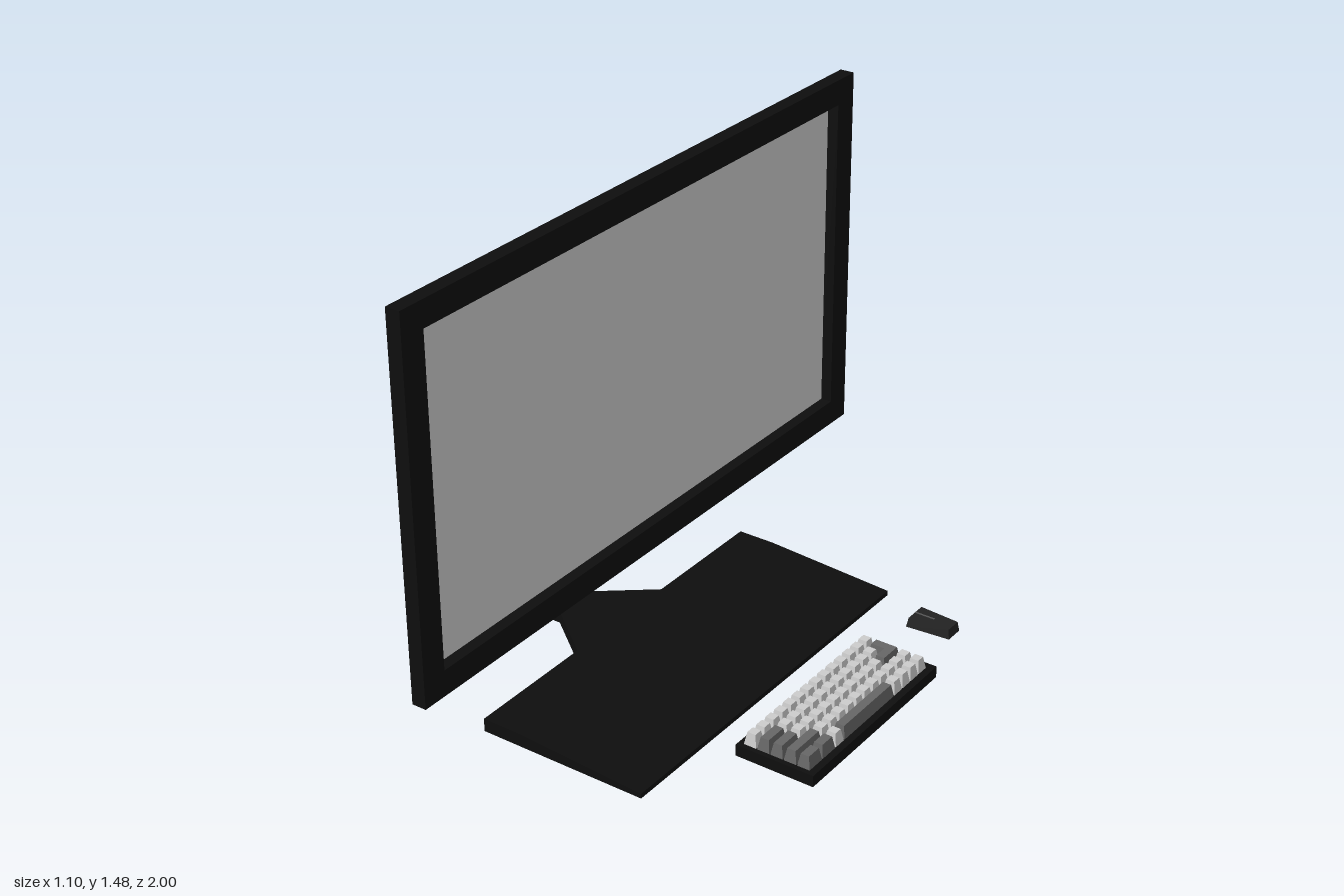
import * as THREE from 'three';

const mat = (color) => new THREE.MeshStandardMaterial({ color, flatShading: true });

function add(parent, name, geometry, material, x = 0, y = 0, z = 0) {
  const mesh = new THREE.Mesh(geometry, material);
  mesh.name = name;
  mesh.position.set(x, y, z);
  parent.add(mesh);
  return mesh;
}

const shapeOf = (points) => new THREE.Shape(points.map(([x, y]) => new THREE.Vector2(x, y)));

// Extrude a side profile (x, y) across z, centred on z = 0
function acrossZ(points, width) {
  const g = new THREE.ExtrudeGeometry(shapeOf(points), { depth: width, bevelEnabled: false });
  return g.translate(0, 0, -width / 2);
}

// Box standing on y = 0 whose top is drawn in by an equal inset on all sides
function taperedBox(w, h, d, inset) {
  const g = new THREE.BoxGeometry(w, h, d).translate(0, h / 2, 0);
  const p = g.attributes.position;
  for (let i = 0; i < p.count; i++) {
    if (p.getY(i) < h / 2) continue;
    p.setX(i, p.getX(i) - Math.sign(p.getX(i)) * inset);
    p.setZ(i, p.getZ(i) - Math.sign(p.getZ(i)) * inset);
  }
  g.computeVertexNormals();
  return g;
}

function createMonitor(black, grey) {
  const monitor = new THREE.Group();
  monitor.name = 'monitor';

  // Frame: outline in the (z, y) plane with a screen opening, turned to face +x
  const frame = shapeOf([[-1, 0.345], [1, 0.345], [1, 1.477], [-1, 1.477]]);
  frame.holes.push(new THREE.Path(
    [[-0.92, 0.423], [-0.92, 1.4], [0.92, 1.4], [0.92, 0.423]].map(([x, y]) => new THREE.Vector2(x, y))));
  const frameGeo = new THREE.ExtrudeGeometry(frame, { depth: 0.045, bevelEnabled: false });
  add(monitor, 'screenFrame', frameGeo.rotateY(Math.PI / 2), black, -0.24);
  add(monitor, 'backPanel', new THREE.BoxGeometry(0.006, 0.99, 1.85), black, -0.2365, 0.9115);
  add(monitor, 'screen', new THREE.BoxGeometry(0.004, 0.977, 1.84), grey, -0.232, 0.9115);

  // Leaning neck
  add(monitor, 'neck', acrossZ([[-0.55, 0.045], [-0.507, 0.045], [-0.195, 0.347], [-0.24, 0.347]], 0.134), black);

  // Foot: wedge plate, with a tapering tail behind it
  add(monitor, 'basePlate',
    acrossZ([[-0.33, 0.01], [0.21, 0.01], [0.21, 0.025], [-0.21, 0.051], [-0.33, 0.051]], 1.25), black);
  const tail = shapeOf([[-0.55, -0.067], [-0.505, -0.067], [-0.33, -0.205],
    [-0.33, 0.205], [-0.505, 0.067], [-0.55, 0.067]]);
  const tailGeo = new THREE.ExtrudeGeometry(tail, { depth: 0.041, bevelEnabled: false });
  add(monitor, 'baseTail', tailGeo.rotateX(-Math.PI / 2), black, 0, 0.01);
  return monitor;
}

function createKeyboard(black, light, dark) {
  const keyboard = new THREE.Group();
  keyboard.name = 'keyboard';
  add(keyboard, 'keyboardCase', new THREE.BoxGeometry(0.253, 0.036, 0.648), black, 0.4225, 0.018, -0.016);

  // A key covers rows r0..r1 and columns c0..c1 of the grid (columns may be halves)
  const pitchX = 0.0435, pitchZ = 0.0437, gap = 0.003;
  function key(r0, r1, c0, c1, material) {
    const w = (r1 - r0 + 1) * pitchX - gap, d = (c1 - c0 + 1) * pitchZ - gap;
    add(keyboard, 'key', taperedBox(w, 0.04, d, 0.007), material,
      0.333 + (r0 + r1) / 2 * pitchX, 0.035, -0.296 + (c0 + c1) / 2 * pitchZ);
  }

  // Plain keys: the columns filled in each row
  const plain = [[[0, 13]], [[1, 11]], [[2, 11]], [[0, 10]], [[0, 3], [10, 10]]];
  plain.forEach((runs, r) => runs.forEach(([a, b]) => {
    for (let c = a; c <= b; c++) key(r, r, c, c, light);
  }));

  // Wide keys, including the corner key made of two overlapping bars
  const wide = [[1, 2, 0, 0], [2, 2, 0, 1], [1, 1, 12, 13], [2, 2, 12, 13],
    [3, 3, 11, 13], [4, 4, 4, 9], [4, 4, 11, 11.5], [4, 4, 12.5, 13]];
  wide.forEach((k) => key(...k, dark));
  return keyboard;
}

function createMouse() {
  const mouse = new THREE.Group();
  mouse.name = 'mouse';
  // Body narrows toward the palm end
  const body = taperedBox(0.14, 0.03, 0.084, 0.005);
  const p = body.attributes.position;
  for (let i = 0; i < p.count; i++) if (p.getX(i) > 0) p.setZ(i, p.getZ(i) * 0.72);
  body.computeVertexNormals();
  add(mouse, 'mouseBody', body, mat(0x222222));
  add(mouse, 'buttonSplit', new THREE.BoxGeometry(0.066, 0.003, 0.005), mat(0x555555), -0.031, 0.03, 0);
  mouse.position.set(0.413, 0.005, -0.555);
  return mouse;
}

export function createModel() {
  const model = new THREE.Group();
  model.name = 'desktopSet';
  const black = mat(0x0e0e0e), grey = mat(0xcccccc), dark = mat(0x666666);
  model.add(createMonitor(black, grey), createKeyboard(black, grey, dark), createMouse());
  return model;
}
